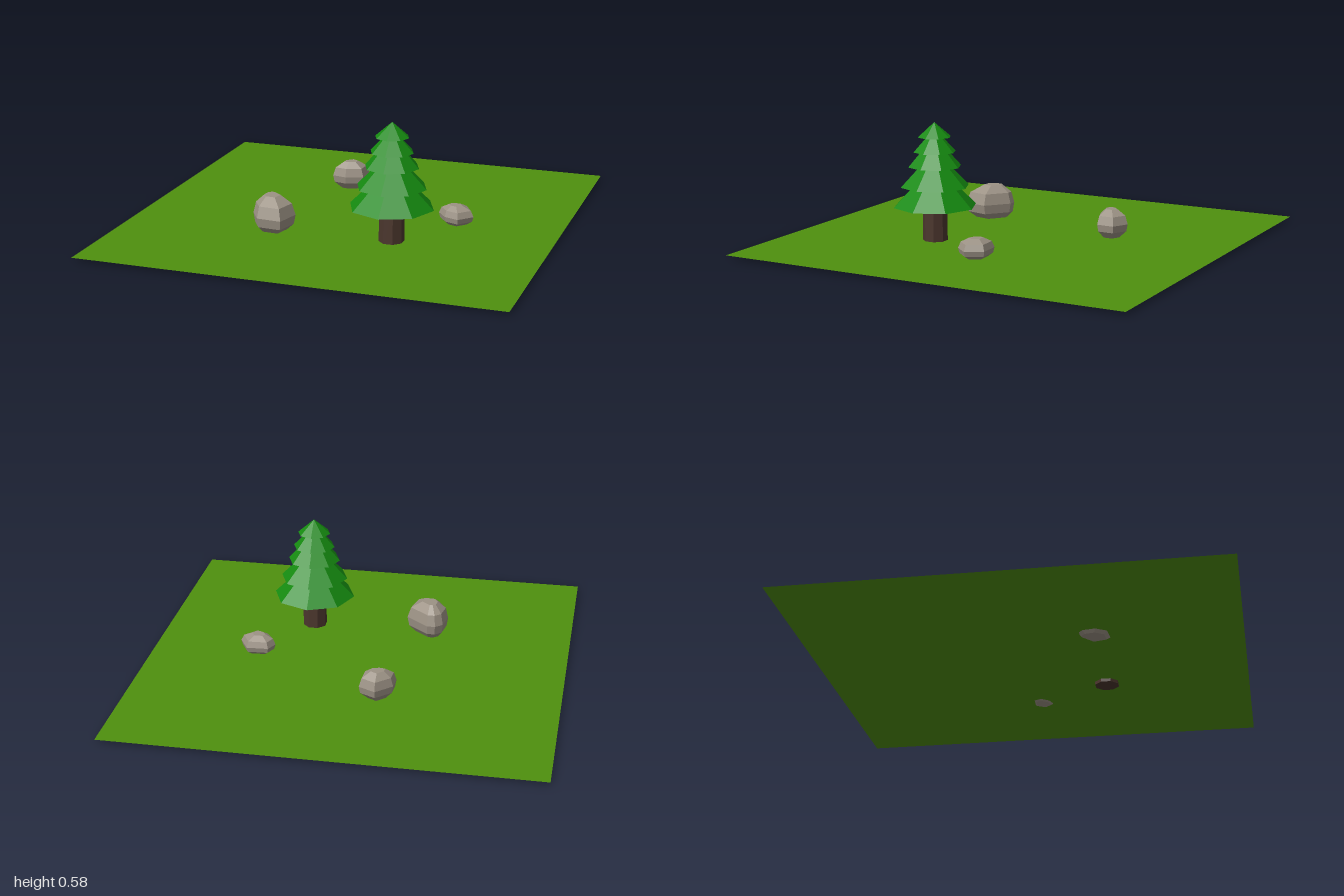
import * as THREE from 'three';
import { ConvexGeometry } from 'three/addons/geometries/ConvexGeometry.js';

const material = (color, extra = {}) =>
  new THREE.MeshStandardMaterial({ color, flatShading: true, ...extra });

function addMesh(parent, name, geometry, mat, x = 0, y = 0, z = 0) {
  const mesh = new THREE.Mesh(geometry, mat);
  mesh.name = name;
  mesh.position.set(x, y, z);
  parent.add(mesh);
  return mesh;
}

// Faceted boulder: one plan outline scaled over several heights, wrapped in a hull
function boulderGeometry(outline, bottom, top) {
  const levels = [[0, 0.5], [0.25, 0.92], [0.5, 1], [0.8, 0.85], [1, 0.38]]; // height, scale
  const cx = outline.reduce((s, p) => s + p[0], 0) / outline.length;
  const cz = outline.reduce((s, p) => s + p[1], 0) / outline.length;
  const points = [];
  for (const [t, s] of levels) {
    for (const [x, z] of outline) {
      points.push(new THREE.Vector3(
        cx + (x - cx) * s, bottom + (top - bottom) * t, cz + (z - cz) * s));
    }
  }
  return new ConvexGeometry(points);
}

export function createModel() {
  const model = new THREE.Group();
  model.name = 'forestClearing';

  // Flat square of grass
  const ground = new THREE.PlaneGeometry(2, 2).rotateX(-Math.PI / 2);
  addMesh(model, 'ground', ground, material(0x4f900e, { side: THREE.DoubleSide }), 0, 0.015, 0);

  // Conifer: octagonal trunk and five stacked cones
  const tree = new THREE.Group();
  tree.name = 'tree';
  tree.position.set(0.28, 0, 0.32);
  model.add(tree);
  const trunk = new THREE.CylinderGeometry(0.059, 0.059, 0.2, 8).rotateY(Math.PI / 8);
  addMesh(tree, 'trunk', trunk, material(0x4b362d), 0, 0.1, 0);

  const leaf = material(0x158a10);
  const tiers = [ // base height, radius, cone height
    [0.18, 0.2, 0.2], [0.275, 0.165, 0.17], [0.37, 0.128, 0.145],
    [0.44, 0.102, 0.11], [0.51, 0.08, 0.07],
  ];
  tiers.forEach(([y, r, h], i) =>
    addMesh(tree, `foliageTier${i + 1}`, new THREE.ConeGeometry(r, h, 8), leaf, 0, y + h / 2, 0));

  // Boulders
  const stone = material(0x9c9285);
  const boulders = [
    ['largeBoulder', 0, 0.18, [[-0.34, 0.23], [-0.3, 0.23], [-0.19, 0.32], [-0.22, 0.44],
      [-0.34, 0.43], [-0.39, 0.35], [-0.375, 0.26]]],
    ['mediumBoulder', 0.018, 0.155, [[-0.16, -0.48], [-0.08, -0.44], [-0.085, -0.355],
      [-0.17, -0.325], [-0.24, -0.34], [-0.235, -0.41]]],
    ['smallBoulder', 0.008, 0.105, [[0.43, -0.085], [0.535, -0.09], [0.58, -0.01],
      [0.52, 0.055], [0.45, 0.03], [0.405, -0.03]]],
  ];
  for (const [name, bottom, top, outline] of boulders) {
    addMesh(model, name, boulderGeometry(outline, bottom, top), stone);
  }
  return model;
}
